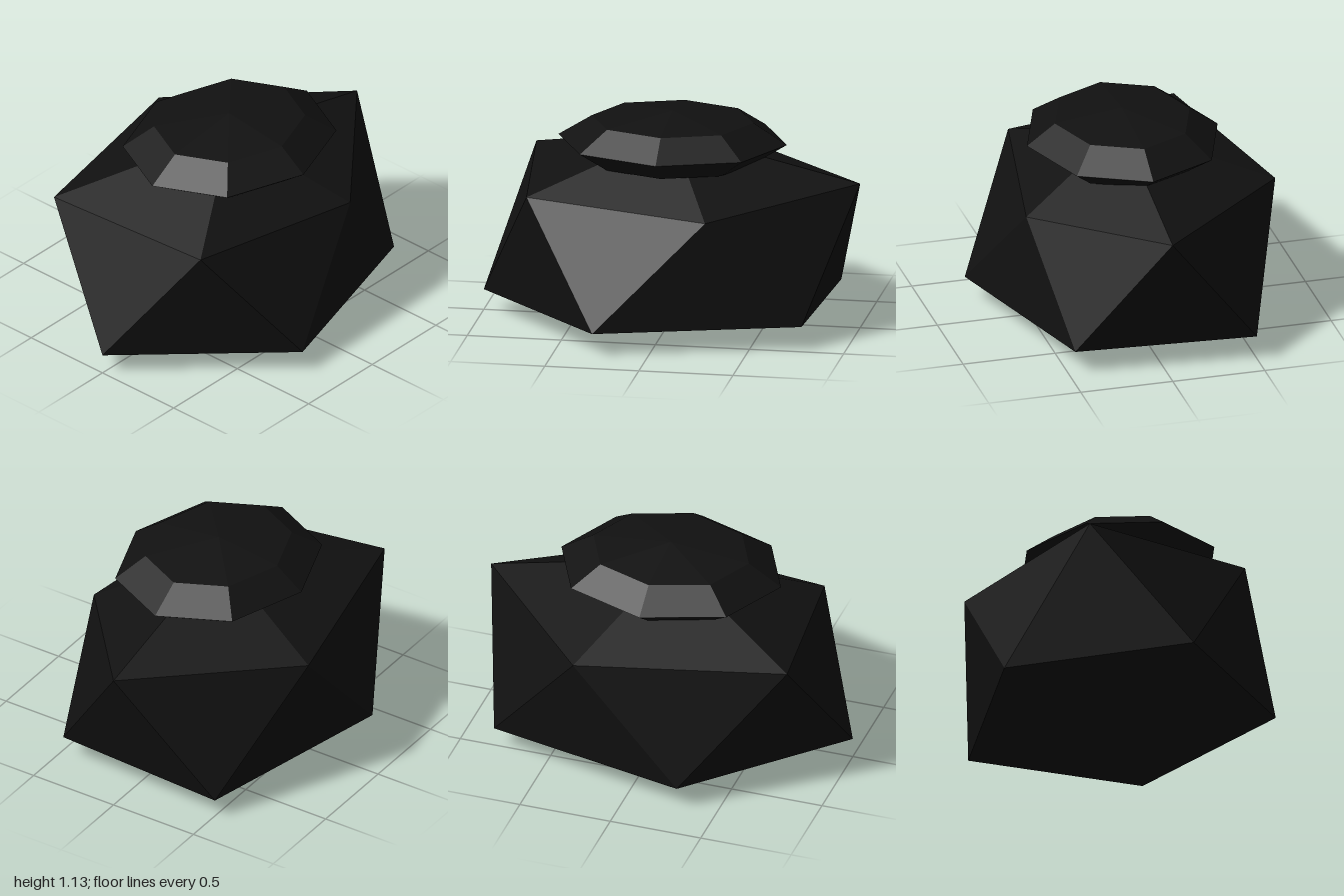
import * as THREE from 'three';

const material = new THREE.MeshStandardMaterial({ color: 0x111111, flatShading: true });

// Closed faceted rock: two staggered five-corner rings with a point above and below
function faceted(top, upper, lower, bottom) {
  const pos = [];
  const n = upper.length;
  for (let k = 0; k < n; k++) {
    const j = (k + 1) % n;
    pos.push(...top, ...upper[j], ...upper[k]);
    pos.push(...upper[k], ...upper[j], ...lower[k]);
    pos.push(...lower[k], ...upper[j], ...lower[j]);
    pos.push(...bottom, ...lower[k], ...lower[j]);
  }
  const geometry = new THREE.BufferGeometry();
  geometry.setAttribute('position', new THREE.Float32BufferAttribute(pos, 3));
  geometry.computeVertexNormals();
  return geometry;
}

export function createModel() {
  const model = new THREE.Group();
  model.name = 'stackedRock';

  // Large irregular lower rock
  const upper = [[1, 0.785, 0], [0.28, 0.7, 0.595], [-0.7, 0.745, 0.42], [-0.81, 0.785, -0.51], [0.29, 0.76, -0.755]];
  const lower = [[0.77, 0.125, 0.465], [-0.29, 0.12, 0.77], [-1, 0.11, 0], [-0.29, 0.125, -0.775], [0.81, 0.11, -0.51]];
  const base = new THREE.Mesh(faceted([0, 1.02, 0], upper, lower, [0, 0, 0]), material);
  base.name = 'baseRock';
  model.add(base);

  // Flattened faceted cap stone
  const cap = new THREE.Mesh(new THREE.SphereGeometry(1, 8, 4), material);
  cap.name = 'capStone';
  cap.scale.set(0.607, 0.157, 0.518);
  cap.position.set(0.003, 0.975, -0.004);
  model.add(cap);

  return model;
}
